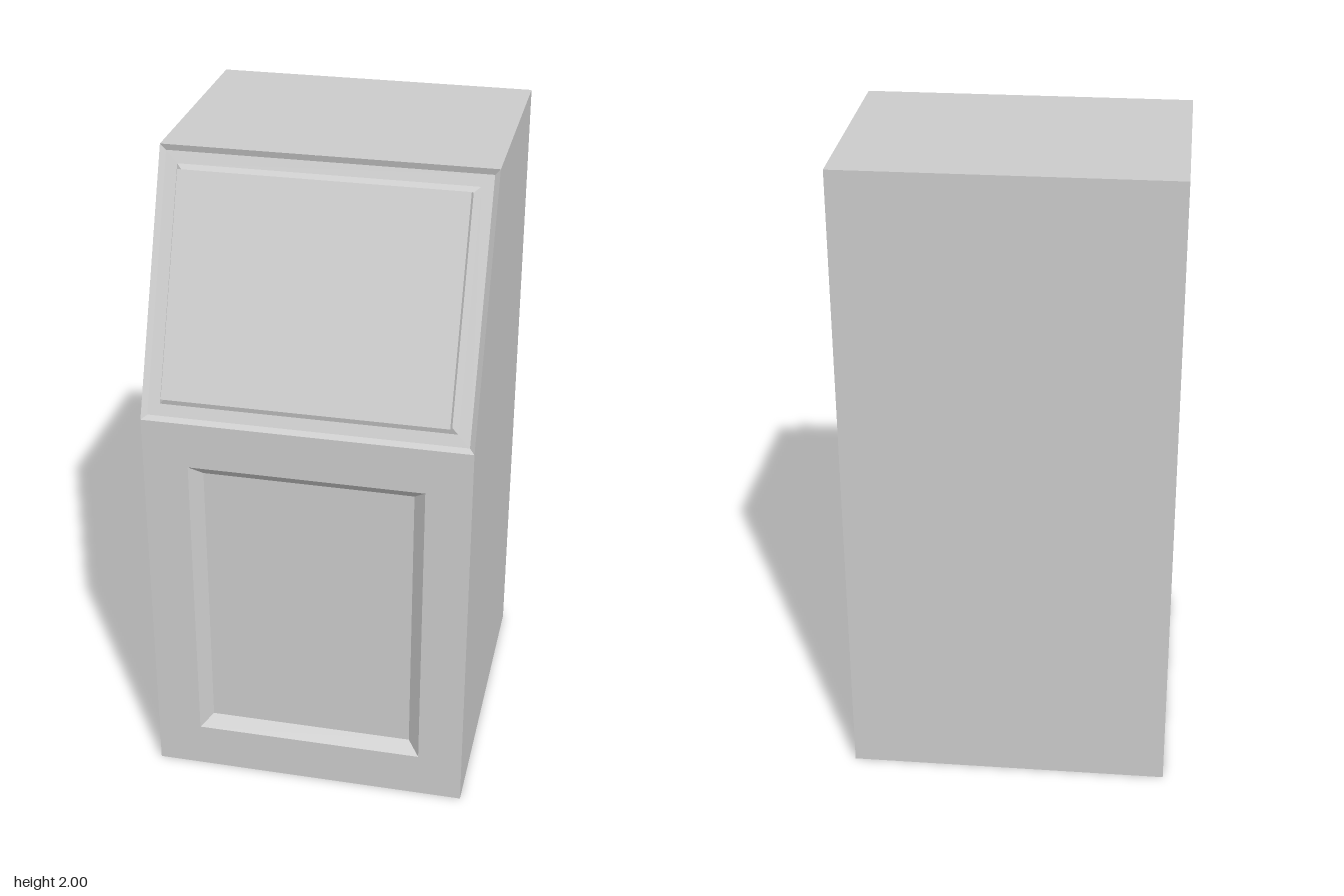
import * as THREE from 'three';

const W = 0.495, BACK = -0.52, FRONT = 0.51, SHOULDER = 1.26, TOP = 2, TOP_Z = 0.195;

const material = new THREE.MeshStandardMaterial({ color: 0xcccccc, flatShading: true });

function add(group, name, geometry) {
  const mesh = new THREE.Mesh(geometry, material);
  mesh.name = name;
  group.add(mesh);
  return mesh;
}

// Convex polygons with corners listed counter-clockwise from outside
function polygons(faces) {
  const points = [];
  for (const f of faces)
    for (let i = 1; i < f.length - 1; i++) points.push(...f[0], ...f[i], ...f[i + 1]);
  const geometry = new THREE.BufferGeometry();
  geometry.setAttribute('position', new THREE.Float32BufferAttribute(points, 3));
  geometry.computeVertexNormals();
  return geometry;
}

// Nested rectangles [halfWidth, bottom, top, depth] joined into a moulded face towards +z
function mouldedFace(rings) {
  const loops = rings.map(([w, b, t, z]) => [[-w, b, z], [w, b, z], [w, t, z], [-w, t, z]]);
  const faces = [loops[loops.length - 1]];
  for (let k = 0; k < loops.length - 1; k++)
    for (let i = 0; i < 4; i++) {
      const j = (i + 1) % 4;
      faces.push([loops[k][i], loops[k][j], loops[k + 1][j], loops[k + 1][i]]);
    }
  return polygons(faces);
}

export function createModel() {
  const model = new THREE.Group();
  model.name = 'cabinet';

  // Side profile as [z, y], from bottom front round to the shoulder
  const profile = [[FRONT, 0], [BACK, 0], [BACK, TOP], [TOP_Z, TOP], [FRONT, SHOULDER]];
  const side = (x) => profile.map(([z, y]) => [x, y, z]);
  const left = side(W), right = side(-W);
  const shell = [left, [...right].reverse()];
  for (let i = 0; i < 3; i++) shell.push([left[i], right[i], right[i + 1], left[i + 1]]);
  add(model, 'cabinetShell', polygons(shell));

  // Lower front with a bevelled recess
  const lower = add(model, 'lowerFront', mouldedFace([
    [W, 0, SHOULDER, 0],
    [0.357, 0.145, 1.115, 0],
    [0.32, 0.18, 1.08, -0.035],
  ]));
  lower.position.z = FRONT;

  // Sloping front with a shallow groove around its door
  const slope = new THREE.Group();
  slope.name = 'slopingFront';
  slope.position.set(0, SHOULDER, FRONT);
  slope.rotation.x = -Math.atan2(FRONT - TOP_Z, TOP - SHOULDER);
  model.add(slope);
  const length = Math.hypot(FRONT - TOP_Z, TOP - SHOULDER);
  const rings = [[0, 0], [0.016, -0.013], [0.052, -0.013], [0.07, 0]];
  add(slope, 'slopingFrame', mouldedFace(rings.map(([d, z]) => [W - d, d, length - d, z])));

  // Raised door panel
  const door = add(slope, 'doorPanel', new THREE.BoxGeometry(2 * (W - 0.07), length - 0.14, 0.043));
  door.position.set(0, length / 2, 0.0215);

  return model;
}
